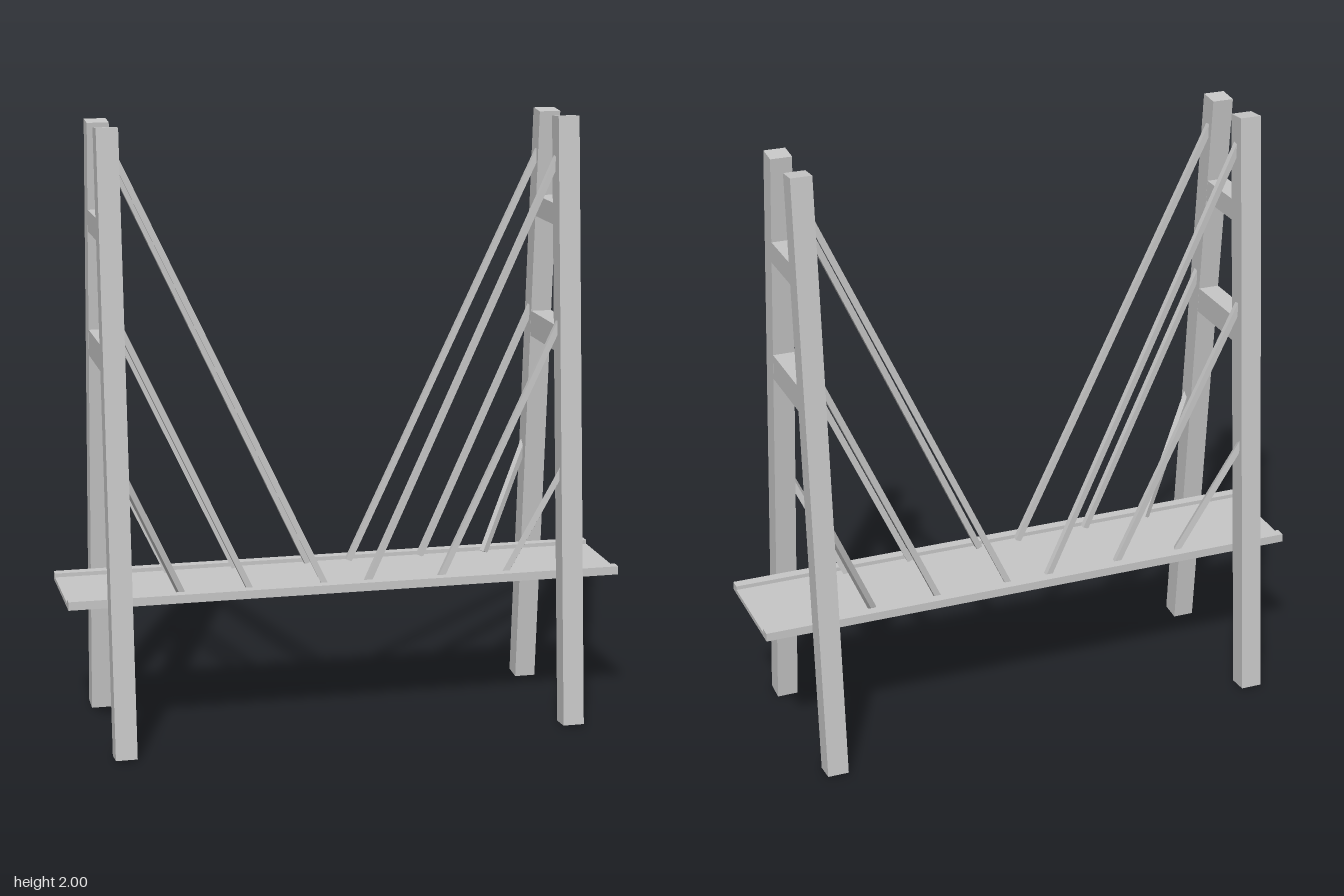
import * as THREE from 'three';

export function createModel() {
  const model = new THREE.Group();
  model.name = 'cableStayedBridge';
  const concrete = new THREE.MeshStandardMaterial({ color: 0xc8c8c8 });
  concrete.name = 'lightGrey';

  function box(name, w, h, d, x, y, z, parent) {
    const mesh = new THREE.Mesh(new THREE.BoxGeometry(w, h, d), concrete);
    mesh.name = name;
    mesh.position.set(x, y, z);
    parent.add(mesh);
    return mesh;
  }

  // Square bar running between two points
  function bar(name, a, b, size, parent) {
    const mid = a.clone().add(b).multiplyScalar(0.5);
    const mesh = box(name, size, size, a.distanceTo(b), mid.x, mid.y, mid.z, parent);
    mesh.lookAt(b);
  }

  // Deck: slab with a low curb along both long edges
  const deck = new THREE.Group();
  deck.name = 'deck';
  model.add(deck);
  box('deckSlab', 1.835, 0.015, 0.37, -0.002, 0.4835, 0, deck);
  for (const s of [-1, 1]) box('curb', 1.835, 0.013, 0.034, -0.002, 0.4975, s * 0.168, deck);

  // Towers: two legs leaning together, tied by two crossbeams
  const lean = Math.atan(0.175 / 2);
  for (const x of [-0.76, 0.73]) {
    const tower = new THREE.Group();
    tower.name = x < 0 ? 'rightTower' : 'leftTower';
    model.add(tower);
    for (const s of [-1, 1]) {
      box('leg', 0.07, 2.0015, 0.07, x, 1, s * 0.1875, tower).rotation.x = -s * lean;
    }
    box('upperCrossbeam', 0.069, 0.07, 0.23, x, 1.68, 0, tower);
    box('lowerCrossbeam', 0.069, 0.085, 0.29, x, 1.278, 0, tower);
  }

  // Stay cables: [tower x, y, z, deck x, z]
  const stays = [
    [-0.725, 1.885, 0.103, -0.073, 0.135],
    [-0.725, 1.355, 0.155, -0.322, 0.135],
    [-0.725, 0.875, 0.205, -0.547, 0.13],
    [0.695, 1.845, 0.103, 0.069, 0.135],
    [0.695, 1.315, 0.155, 0.317, 0.135],
    [0.695, 0.83, 0.205, 0.541, 0.13],
  ];
  const cables = new THREE.Group();
  cables.name = 'cables';
  model.add(cables);
  for (const [tx, ty, tz, dx, dz] of stays) {
    for (const s of [-1, 1]) {
      const foot = new THREE.Vector3(dx, 0.493, s * dz);
      const head = new THREE.Vector3(tx, ty, s * tz);
      // run the cable a little way into the leg
      head.add(head.clone().sub(foot).normalize().multiplyScalar(0.05));
      bar('cable', foot, head, 0.02, cables);
    }
  }
  return model;
}
